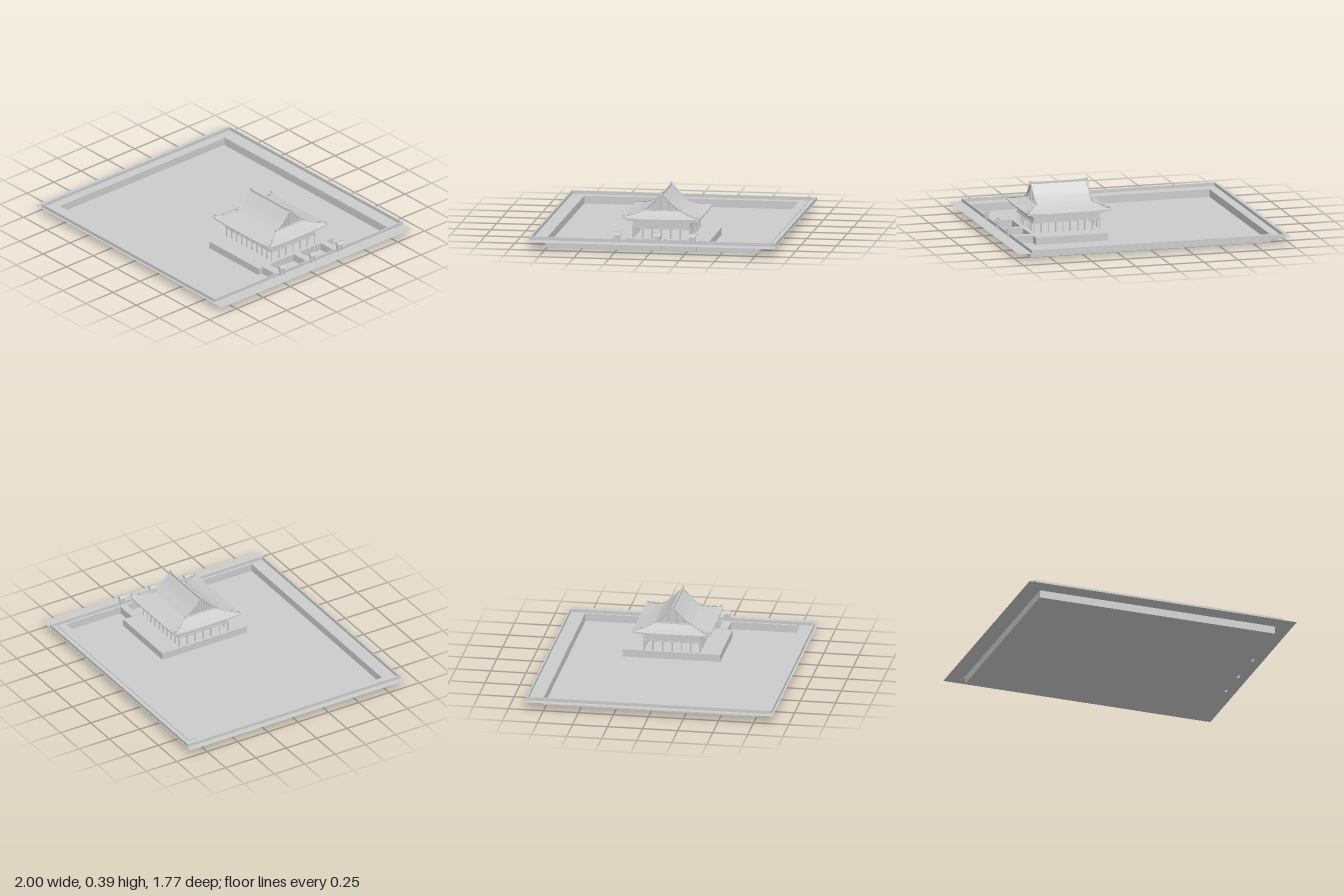
import * as THREE from 'three';

const mat = new THREE.MeshStandardMaterial({ color: 0xcccccc });
const thin = new THREE.MeshStandardMaterial({ color: 0xcccccc, side: THREE.DoubleSide });

function add(parent, name, geo, x = 0, y = 0, z = 0, m = mat) {
  const mesh = new THREE.Mesh(geo, m);
  mesh.name = name;
  mesh.position.set(x, y, z);
  parent.add(mesh);
  return mesh;
}

// Box given by its limits on each axis
function block(parent, name, x0, x1, y0, y1, z0, z1) {
  return add(parent, name, new THREE.BoxGeometry(x1 - x0, y1 - y0, z1 - z0),
    (x0 + x1) / 2, (y0 + y1) / 2, (z0 + z1) / 2);
}

// Grid surface from a rule (u, v in 0..1) -> [x, y, z]
function sheet(nu, nv, rule) {
  const geo = new THREE.PlaneGeometry(1, 1, nu, nv), p = geo.attributes.position;
  for (let i = 0; i < p.count; i++) p.setXYZ(i, ...rule(p.getX(i) + 0.5, 0.5 - p.getY(i)));
  geo.computeVertexNormals();
  return geo;
}

// Concave roof profile: height by distance from the ridge line
const PROFILE = [[0, 0.365], [0.03, 0.333], [0.07, 0.291], [0.13, 0.245], [0.2, 0.219], [0.275, 0.2]];
function roofY(d) {
  for (let i = 1; i < PROFILE.length; i++) {
    const [a, ya] = PROFILE[i - 1], [b, yb] = PROFILE[i];
    if (d <= b + 1e-6) return ya + (yb - ya) * (d - a) / (b - a);
  }
  return 0.2;
}
const GABLE_X = 0.205, GABLE_Z = 0.13, EAVE_X = 0.305, EAVE_Z = 0.275;
const lift = (u, t) => 0.01 * Math.abs(u) ** 4 * t * t;

function buildGround(g) {
  // Ground sheet with the pond opening
  const ground = new THREE.Shape([[-1, -0.885], [1, -0.885], [1, 0.885], [-1, 0.885]].map(p => new THREE.Vector2(...p)));
  ground.holes.push(new THREE.Path([[-0.88, -0.765], [-0.88, 0.765], [0.88, 0.765], [0.88, -0.765]].map(p => new THREE.Vector2(...p))));
  add(g, 'ground', new THREE.ShapeGeometry(ground).rotateX(-Math.PI / 2), 0, 0.055, 0, thin);

  // Sunken pond
  add(g, 'pondFloor', new THREE.PlaneGeometry(1.76, 1.53).rotateX(-Math.PI / 2), 0, 0, 0, thin);
  for (const s of [-1, 1]) {
    add(g, 'pondWall', new THREE.PlaneGeometry(1.76, 0.055), 0, 0.0275, s * 0.765, thin);
    add(g, 'pondWall', new THREE.PlaneGeometry(1.53, 0.055).rotateY(Math.PI / 2), s * 0.88, 0.0275, 0, thin);
  }
  block(g, 'backStep', -0.885, 0.88, 0.05, 0.06, -0.83, -0.767);

  // Low perimeter wall
  block(g, 'perimeterWall', -0.955, 0.905, 0.055, 0.078, -0.88, -0.87);
  block(g, 'perimeterWall', -0.955, 0.905, 0.055, 0.078, 0.86, 0.87);
  block(g, 'perimeterWall', -0.955, -0.945, 0.055, 0.078, -0.87, 0.86);
  block(g, 'perimeterWall', 0.897, 0.905, 0.055, 0.078, -0.87, 0.86);
}

function buildBridge(g, z0, z1) {
  const z = (z0 + z1) / 2;
  block(g, 'bridge', 0.73, 0.9, 0, 0.055, z0, z1);
  // Small roofed gate at the outer end
  const gate = new THREE.Group();
  gate.name = 'gate';
  gate.position.set(0.903, 0, z);
  for (const s of [-1, 1]) block(gate, 'gatePost', -0.01, 0.01, 0.055, 0.11, s * 0.016 - 0.004, s * 0.016 + 0.004);
  block(gate, 'gateDoor', -0.003, 0.003, 0.055, 0.1, -0.016, 0.016);
  block(gate, 'gateLintel', -0.013, 0.013, 0.1, 0.112, -0.021, 0.021);
  const gable = new THREE.Shape([[-0.021, 0.11], [0.021, 0.11], [0.019, 0.116], [0, 0.128], [-0.019, 0.116]].map(p => new THREE.Vector2(...p)));
  add(gate, 'gateRoof', new THREE.ExtrudeGeometry(gable, { depth: 0.05, bevelEnabled: false }), 0, 0, -0.025);
  block(gate, 'gateRidge', -0.003, 0.003, 0.124, 0.132, -0.026, 0.026);
  g.add(gate);
}

function buildHall(g) {
  // Columns and closed upper frame
  const column = new THREE.CylinderGeometry(0.005, 0.005, 0.09, 8);
  const W = 0.24, D = 0.2;
  const stand = (x, z) => {
    add(g, 'column', column, x, 0.095, z);
    block(g, 'bracket', x - 0.009, x + 0.009, 0.165, 0.186, z - 0.009, z + 0.009);
  };
  for (const s of [-1, 1]) {
    for (let i = 0; i <= 9; i++) stand(-W + i * 2 * W / 9, s * D);
    for (let i = 1; i < 6; i++) stand(s * W, -D + i * 2 * D / 6);
    block(g, 'lintel', -W - 0.008, W + 0.008, 0.122, 0.132, s * D - 0.008, s * D + 0.008);
    block(g, 'lintel', s * W - 0.008, s * W + 0.008, 0.122, 0.132, -D, D);
  }
  block(g, 'upperWalls', -W - 0.003, W + 0.003, 0.13, 0.18, -D - 0.003, D + 0.003);
  block(g, 'eaveFrame', -0.27, 0.27, 0.178, 0.188, -0.24, 0.24);

  // Rafter ends under the eaves
  for (const s of [-1, 1]) {
    for (let i = 0; i <= 40; i++) {
      const u = i / 20 - 1;
      const y = 0.187 + lift(u, 1);
      block(g, 'rafter', u * 0.293 - 0.003, u * 0.293 + 0.003, y, y + 0.009, s * 0.25 - 0.02, s * 0.25 + 0.02);
      if (i > 0 && i < 40) block(g, 'rafter', s * 0.28 - 0.02, s * 0.28 + 0.02, y, y + 0.009, u * 0.262 - 0.003, u * 0.262 + 0.003);
    }
  }

  // Main slopes, side skirts and their soffits
  for (const s of [-1, 1]) {
    const slope = (u, v) => {
      const d = v * EAVE_Z, t = Math.max(0, (d - GABLE_Z) / (EAVE_Z - GABLE_Z)), k = 2 * u - 1;
      return [s * k * (GABLE_X + t * (EAVE_X - GABLE_X)), roofY(d) + lift(k, t), s * d];
    };
    const skirt = (u, v) => {
      const k = 2 * u - 1, d = GABLE_Z + v * (EAVE_Z - GABLE_Z);
      return [s * (GABLE_X + v * (EAVE_X - GABLE_X)), roofY(d) + lift(k, v), -s * k * d];
    };
    add(g, 'roofSlope', sheet(24, 22, slope), 0, 0, 0, thin);
    add(g, 'roofSkirt', sheet(24, 10, skirt), 0, 0, 0, thin);
    for (const rule of [slope, skirt]) {
      const edge = (u, v) => { const p = rule(u, 1); return [p[0], p[1] - 0.009 * v, p[2]]; };
      add(g, 'eaveEdge', sheet(24, 1, edge), 0, 0, 0, thin);
    }
    add(g, 'soffit', sheet(1, 1, (u, v) => [(2 * u - 1) * 0.3, 0.192, s * v * 0.27]), 0, 0, 0, thin);

    // Gable wall with battens
    const half = PROFILE.slice(0, 4);
    const outline = [...half.map(([d, y]) => [d, y]), ...half.slice(1).reverse().map(([d, y]) => [-d, y])];
    const wall = new THREE.ShapeGeometry(new THREE.Shape(outline.map(p => new THREE.Vector2(...p))));
    add(g, 'gableWall', wall.rotateY(Math.PI / 2), s * 0.192, 0, 0, thin);
    add(g, 'gableLedge', new THREE.BoxGeometry(0.014, 0.006, 0.26), s * 0.199, 0.246, 0);
    for (let i = -5; i <= 5; i++) {
      const z = i * 0.019;
      block(g, 'gableBatten', s * 0.195 - 0.004, s * 0.195 + 0.004, 0.243, roofY(Math.abs(z)) - 0.003, z - 0.003, z + 0.003);
    }

    // Finial on the ridge end
    block(g, 'finial', s * 0.205 - 0.007, s * 0.205 + 0.007, 0.355, 0.38, -0.008, 0.008);
    add(g, 'finialTip', new THREE.ConeGeometry(0.006, 0.012, 6), s * 0.207, 0.383, 0);

    // Gable ridges running into the hips, with end ornaments
    for (const q of [-1, 1]) {
      const pts = PROFILE.slice(0, 4).map(([d, y]) => new THREE.Vector3(s * GABLE_X, y + 0.004, q * d));
      for (const t of [0.3, 0.6, 0.9]) {
        const d = GABLE_Z + t * (EAVE_Z - GABLE_Z);
        pts.push(new THREE.Vector3(s * (GABLE_X + t * (EAVE_X - GABLE_X)), roofY(d) + lift(1, t) + 0.004, q * d));
      }
      add(g, 'hipRidge', new THREE.TubeGeometry(new THREE.CatmullRomCurve3(pts), 32, 0.005, 6));
      for (const i of [3, 5, 6]) add(g, 'ridgeOrnament', new THREE.BoxGeometry(0.011, 0.016, 0.011), pts[i].x, pts[i].y + 0.004, pts[i].z);
    }
  }
  // Main ridge, rising slightly at its ends
  const ridge = new THREE.BoxGeometry(0.42, 0.016, 0.012, 16, 1, 1), p = ridge.attributes.position;
  for (let i = 0; i < p.count; i++) p.setY(i, p.getY(i) + 0.004 * (p.getX(i) / 0.21) ** 4);
  ridge.computeVertexNormals();
  add(g, 'mainRidge', ridge, 0, 0.365, 0);
}

export function createModel() {
  const model = new THREE.Group();
  model.name = 'pondPavilion';
  buildGround(model);
  block(model, 'pavilionBase', 0.2, 0.73, 0, 0.052, -0.385, 0.31);
  for (const [z0, z1] of [[-0.315, -0.265], [-0.065, -0.015], [0.215, 0.275]]) buildBridge(model, z0, z1);

  const hall = new THREE.Group();
  hall.name = 'hall';
  hall.position.set(0.46, 0, -0.036);
  buildHall(hall);
  model.add(hall);
  return model;
}
